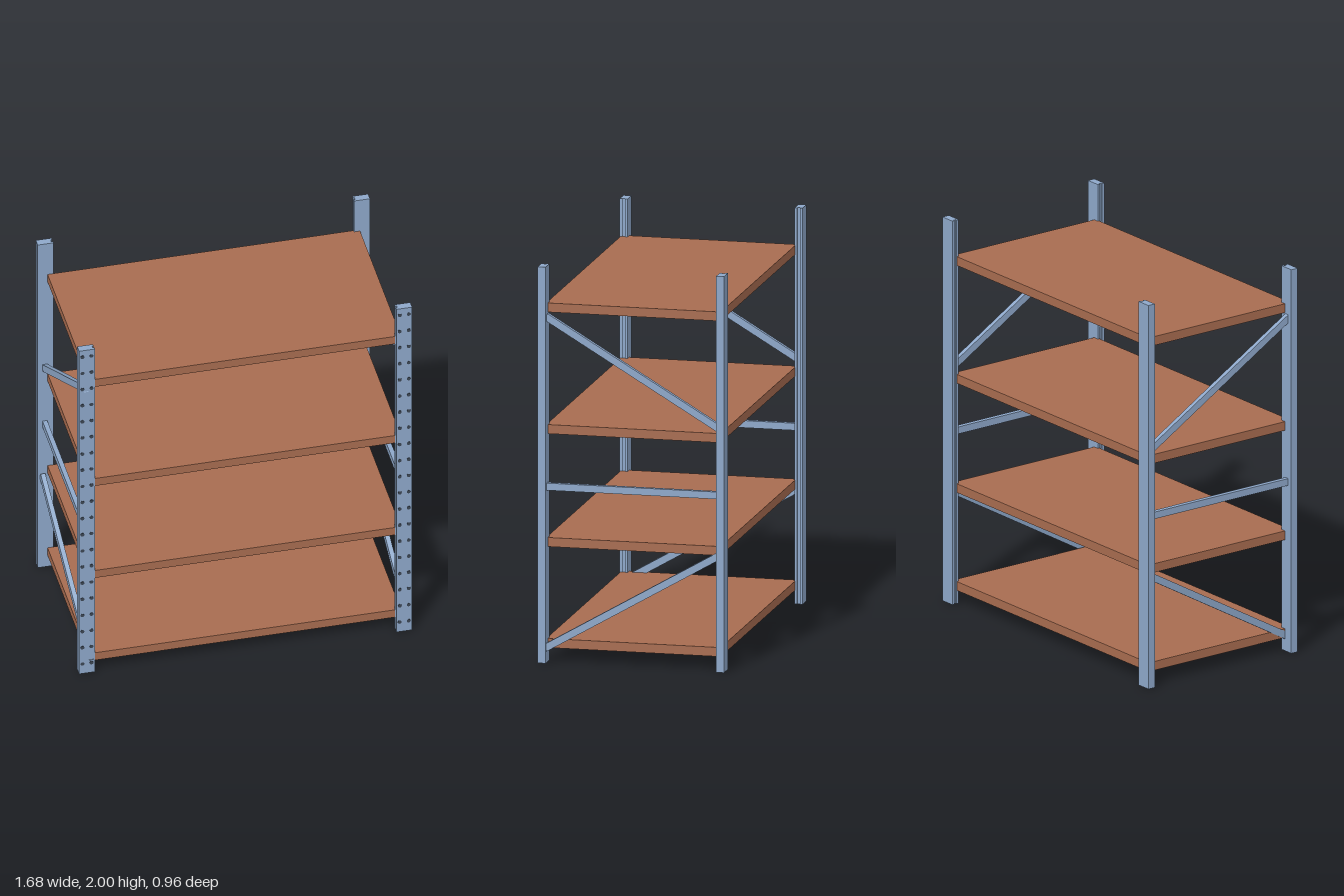
import * as THREE from 'three';

export function createModel() {
  const root = new THREE.Group();
  const steel = new THREE.MeshStandardMaterial({ color: 0x8ea8ca });
  const board = new THREE.MeshStandardMaterial({ color: 0xa86c50 });
  const dark = new THREE.MeshStandardMaterial({ color: 0x3c4654 });

  const add = (parent, name, geometry, material, x = 0, y = 0, z = 0) => {
    const mesh = new THREE.Mesh(geometry, material);
    mesh.name = name;
    mesh.position.set(x, y, z);
    parent.add(mesh);
    return mesh;
  };

  // Upright section: 0.08 x 0.04 with a shallow groove on the inner side
  const postGeometry = (side) => {
    const points = [
      [0.04, -0.02], [0.04, 0.02], [-0.04, 0.02],
      [-0.04, 0.007], [-0.032, 0.007], [-0.032, -0.007], [-0.04, -0.007], [-0.04, -0.02],
    ].map(([x, z]) => new THREE.Vector2(x * side, z));
    return new THREE.ExtrudeGeometry(new THREE.Shape(points), { depth: 2, bevelEnabled: false })
      .rotateX(-Math.PI / 2);
  };

  // Punched holes on the face of a front upright
  const holeGeometry = new THREE.CylinderGeometry(0.01, 0.01, 0.004, 12).rotateX(Math.PI / 2);
  const addHoles = (parent, x, z) => {
    for (let i = 0; i < 20; i++) {
      for (const dx of [-0.023, 0.023]) add(parent, 'hole', holeGeometry, dark, x + dx, 0.06 + i * 0.1, z);
    }
  };

  // Flat bar between two points
  const addBrace = (parent, name, from, to) => {
    const a = new THREE.Vector3(...from), b = new THREE.Vector3(...to);
    const bar = add(parent, name, new THREE.BoxGeometry(0.024, 0.036, a.distanceTo(b)), steel);
    bar.position.copy(a).lerp(b, 0.5);
    bar.lookAt(b);
  };

  // End frames: two uprights, a level tie and two diagonals each
  const frames = [
    { side: 1, name: 'leftFrame', front: 0.455, back: -0.45, drop: 0 },
    { side: -1, name: 'rightFrame', front: 0.427, back: -0.46, drop: 0.012 },
  ];
  for (const { side, name, front, back, drop } of frames) {
    const frame = new THREE.Group();
    frame.name = name;
    root.add(frame);
    const x = 0.8 * side;
    add(frame, 'frontUpright', postGeometry(side), steel, x, 0, front);
    add(frame, 'backUpright', postGeometry(side), steel, x, 0, back);
    addHoles(frame, x, front + 0.0195);
    const tie = 0.804 * side;
    addBrace(frame, 'levelBrace', [tie, 0.887, 0.44], [tie, 0.887, -0.44]);
    addBrace(frame, 'upperBrace', [tie, 1.745 + drop, 0.44], [tie, 1.222 + drop, -0.44]);
    addBrace(frame, 'lowerBrace', [x + 0.022, 0.075 - drop, 0.44], [x - 0.016, 0.582 - drop, -0.44]);
  }

  // Shelf boards
  const shelfGeometry = new THREE.BoxGeometry(1.58, 0.046, 0.885);
  for (const y of [0.092, 0.602, 1.172, 1.786]) add(root, 'shelf', shelfGeometry, board, 0, y, 0.001);

  return root;
}
